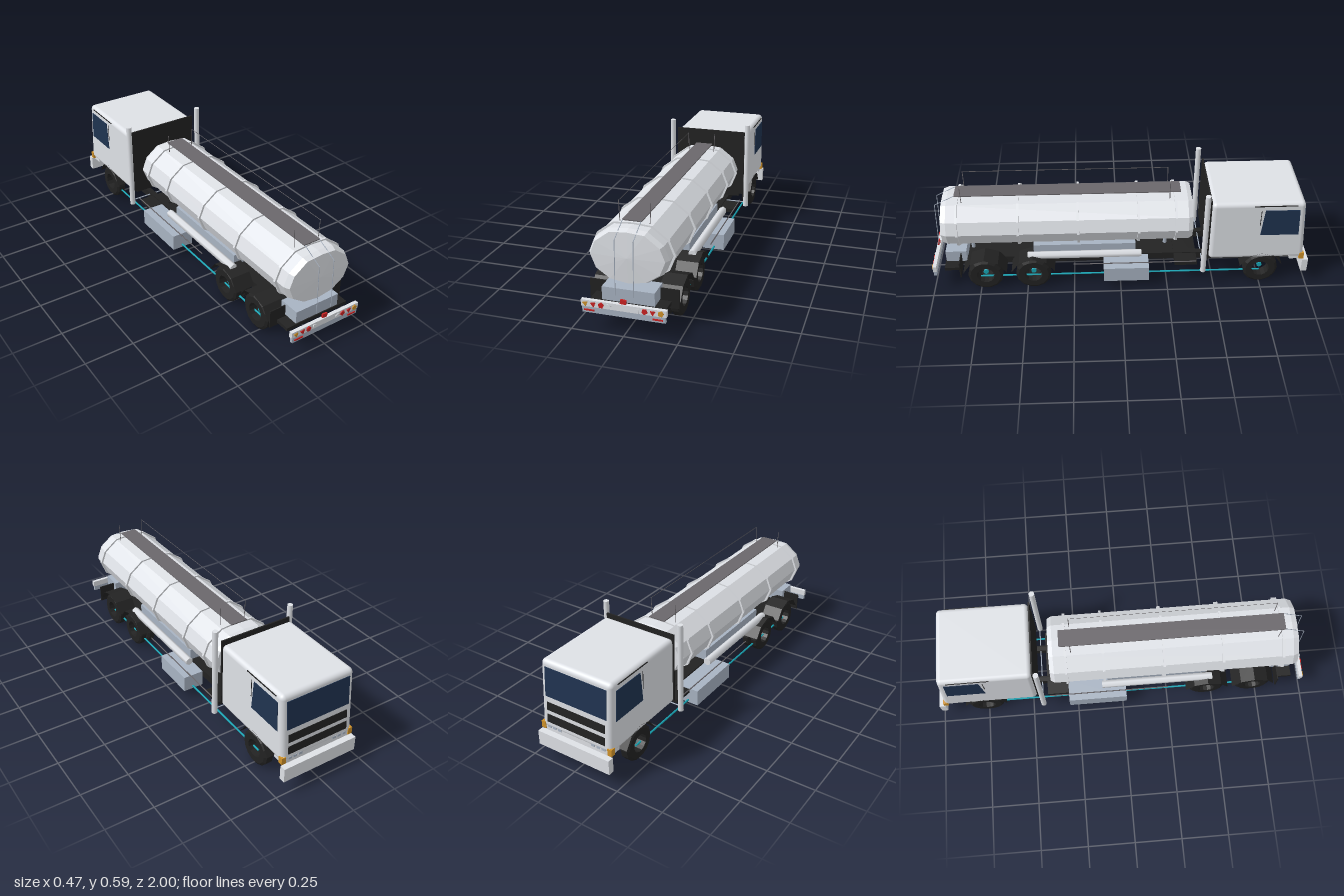
import * as THREE from 'three';
import { RoundedBoxGeometry } from 'three/addons/geometries/RoundedBoxGeometry.js';

const mat = (name, color, side = THREE.FrontSide) => {
  const m = new THREE.MeshStandardMaterial({ color, side });
  m.name = name;
  return m;
};

export function createModel() {
  const root = new THREE.Group();
  root.name = 'tankerTruck';
  const white = mat('white paint', 0xdee1e6);
  const steel = mat('blue grey steel', 0xa8b3c2);
  const black = mat('black', 0x222222, THREE.DoubleSide);
  const glass = mat('glass', 0x1f3350);
  const walk = mat('walkway grey', 0x6a676b);
  const red = mat('red lamp', 0xcc2222);
  const amber = mat('amber lamp', 0xd0922a);
  const teal = mat('teal line', 0x18a8b8);

  const add = (name, geo, m, x = 0, y = 0, z = 0) => {
    const o = new THREE.Mesh(geo, m);
    o.name = name;
    o.position.set(x, y, z);
    root.add(o);
    return o;
  };
  // box from its limits
  const box = (name, m, x0, x1, y0, y1, z0, z1) =>
    add(name, new THREE.BoxGeometry(x1 - x0, y1 - y0, z1 - z0), m, (x0 + x1) / 2, (y0 + y1) / 2, (z0 + z1) / 2);
  // thin round bar between two points
  const bar = (name, m, a, b, r, sides = 6) => {
    const p = new THREE.Vector3(...a), d = new THREE.Vector3(...b).sub(p);
    const o = add(name, new THREE.CylinderGeometry(r, r, d.length(), sides), m);
    o.position.copy(p).addScaledVector(d, 0.5);
    o.quaternion.setFromUnitVectors(new THREE.Vector3(0, 1, 0), d.normalize());
    return o;
  };

  // Tank cross-section, lofted along z with [z, scale] stations
  const half = [[0, 0.222], [0.09, 0.236], [0.16, 0.284], [0.188, 0.355], [0.162, 0.42], [0.087, 0.477], [0, 0.484]];
  const section = [...half, ...half.slice(1, -1).reverse().map(([x, y]) => [-x, y])];
  const loft = (stations) => {
    const pos = [], n = section.length, cy = 0.355;
    const pt = (i, [z, s]) => [section[i % n][0] * s, cy + (section[i % n][1] - cy) * s, z];
    for (let k = 0; k < stations.length - 1; k++)
      for (let i = 0; i < n; i++) {
        const a = pt(i, stations[k]), b = pt(i + 1, stations[k]);
        const c = pt(i + 1, stations[k + 1]), d = pt(i, stations[k + 1]);
        pos.push(...a, ...b, ...c, ...a, ...c, ...d);
      }
    const g = new THREE.BufferGeometry();
    g.setAttribute('position', new THREE.Float32BufferAttribute(pos, 3));
    g.computeVertexNormals();
    return g;
  };
  add('tank', loft([[-0.385, 0], [-0.378, 0.93], [-0.355, 1], [0.9, 1], [0.928, 0.93], [0.937, 0]]), white);
  for (const z of [-0.29, -0.095, 0.22, 0.53, 0.845])
    add('tankBand', loft([[z - 0.006, 0.9], [z - 0.006, 1.06], [z + 0.006, 1.06], [z + 0.006, 0.9]]), white);

  // Walkway, inward-facing rails, posts and ladder
  box('walkway', walk, -0.046, 0.046, 0.501, 0.506, -0.32, 0.86);
  for (const s of [-1, 1]) {
    add('handRail', new THREE.PlaneGeometry(1.08, 0.004).rotateY(-s * Math.PI / 2), walk, s * 0.075, 0.576, 0.28);
    for (const z of [-0.26, 0.82]) bar('railPost', walk, [s * 0.071, 0.48, z], [s * 0.075, 0.578, z], 0.002, 4);
    bar('ladderTop', steel, [s * 0.043, 0.504, 0.86], [s * 0.043, 0.45, 0.965], 0.002, 4);
    bar('ladderRail', steel, [s * 0.043, 0.45, 0.965], [s * 0.043, 0.19, 0.975], 0.002, 4);
  }

  // Chassis, tank supports and rear locker
  for (const s of [-1, 1]) box('chassisRail', black, s * 0.09 - 0.015, s * 0.09 + 0.015, 0.1, 0.14, -0.94, 0.89);
  box('deckPlate', black, -0.1, 0.1, 0.118, 0.13, -0.4, 0.87);
  box('frontDeck', black, -0.18, 0.18, 0.115, 0.135, -0.41, -0.29);
  box('rearDeck', black, -0.18, 0.18, 0.118, 0.135, 0.86, 0.935);
  box('saddle', steel, -0.143, 0.143, 0.185, 0.245, -0.08, 0.46);
  box('rearLocker', steel, -0.125, 0.125, 0.135, 0.2, 0.82, 0.93);
  for (const z of [0.8, -0.25]) bar('outletPipe', steel, [0, 0.13, z], [0, 0.24, z], 0.01, 8);
  for (const s of [-1, 1]) {
    add('hoseTube', new THREE.CylinderGeometry(0.021, 0.021, 0.6, 6).rotateX(Math.PI / 2), white, s * 0.167, 0.198, 0.19);
    bar('brakeLine', teal, [s * 0.172, 0.067, -0.75], [s * 0.172, 0.067, 0.75], 0.005);
    bar('airPipe', walk, [s * 0.195, 0.152, -0.4], [s * 0.195, 0.152, 0.25], 0.003);
    bar('lowerPipe', steel, [s * 0.06, 0.085, -0.3], [s * 0.06, 0.085, 0.5], 0.005);
    bar('exhaustStack', white, [s * 0.221, 0.107, -0.437], [s * 0.221, 0.596, -0.437], 0.0145, 12);
  }
  bar('stackBrace', steel, [-0.22, 0.13, -0.437], [0.22, 0.13, -0.437], 0.003);
  box('leftFuelBox', steel, 0.11, 0.224, 0.052, 0.138, -0.15, 0.09);
  box('rightFuelBox', steel, -0.228, -0.11, 0.052, 0.138, -0.295, 0.02);

  // Wheels: open rings
  const wheel = (x, z, w) => {
    const g = new THREE.LatheGeometry(
      [[0.047, -1], [0.08, -1], [0.093, -0.65], [0.093, 0.65], [0.08, 1], [0.047, 1], [0.047, -1]]
        .map(([r, t]) => new THREE.Vector2(r, t * w / 2)), 14).toNonIndexed().rotateZ(Math.PI / 2);
    g.computeVertexNormals();
    add('tyre', g, black, x, 0.094, z);
  };
  // Angular wheel arch strip
  const fender = (x0, x1, z, r) => {
    const pos = [], idx = [];
    for (let i = 0; i <= 4; i++) {
      const a = Math.PI * (0.08 + 0.21 * i);
      for (const x of [x0, x1]) pos.push(x, 0.094 + r * Math.sin(a), z + r * 1.08 * Math.cos(a));
      if (i < 4) idx.push(2 * i, 2 * i + 1, 2 * i + 3, 2 * i, 2 * i + 3, 2 * i + 2);
    }
    const g = new THREE.BufferGeometry();
    g.setAttribute('position', new THREE.Float32BufferAttribute(pos, 3));
    g.setIndex(idx);
    const flat = g.toNonIndexed();
    flat.computeVertexNormals();
    add('fender', flat, black);
  };
  const axle = (name, z, half) => {
    bar(name, steel, [-half, 0.094, z], [half, 0.094, z], 0.012, 8);
    for (const s of [-1, 1])
      add('axleHub', new THREE.CylinderGeometry(0.014, 0.014, 0.008, 8).rotateZ(Math.PI / 2), teal, s * half, 0.094, z);
  };
  for (const z of [0.465, 0.72]) {
    axle('rearAxle', z, 0.17);
    for (const s of [-1, 1]) {
      wheel(s * 0.124, z, 0.046);
      wheel(s * 0.179, z, 0.046);
      fender(s * 0.105, s * 0.214, z, 0.11);
    }
  }
  axle('frontAxle', -0.75, 0.165);
  for (const s of [-1, 1]) {
    wheel(s * 0.172, -0.75, 0.055);
    fender(s * 0.12, s * 0.206, -0.75, 0.108);
    box('mudFlap', black, s * 0.165 - 0.05, s * 0.165 + 0.05, 0.095, 0.19, 0.846, 0.851);
  }

  // Cab: rounded box with a raked front
  const slope = 0.08, frontZ = (y) => -0.972 + slope * (y - 0.165);
  const cabGeo = new RoundedBoxGeometry(0.41, 0.36, 0.5, 4, 0.024);
  cabGeo.translate(0, 0.35, -0.715);
  const p = cabGeo.attributes.position;
  for (let i = 0; i < p.count; i++) {
    const t = (-0.465 - p.getZ(i)) / 0.5;
    p.setZ(i, -0.465 + t * (frontZ(p.getY(i)) + 0.465));
  }
  add('cab', cabGeo, white);
  box('cabApron', white, -0.195, 0.195, 0.155, 0.2, -0.968, -0.9);
  box('cabBackPanel', black, -0.2, 0.2, 0.17, 0.545, -0.464, -0.456);
  box('cabFloor', black, -0.17, 0.17, 0.15, 0.172, -0.9, -0.47);

  // Plates on the raked cab front
  const frontPlate = (name, m, x0, x1, y0, y1, depth = 0.006) => {
    const y = (y0 + y1) / 2;
    const o = add(name, new THREE.BoxGeometry(x1 - x0, y1 - y0, depth), m, (x0 + x1) / 2, y, frontZ(y));
    o.rotation.x = Math.atan(slope);
  };
  frontPlate('windshield', glass, -0.178, 0.178, 0.345, 0.498);
  frontPlate('upperGrille', black, -0.17, 0.17, 0.272, 0.315);
  frontPlate('lowerGrille', black, -0.17, 0.17, 0.208, 0.25);
  for (const s of [-1, 1]) {
    for (const x of [0.1, 0.13, 0.16]) frontPlate('headlamp', steel, s * x - 0.01, s * x + 0.01, 0.178, 0.19, 0.003);
    box('indicator', amber, s * 0.196 - 0.012, s * 0.196 + 0.012, 0.163, 0.2, -0.973, -0.948);

    // Side window and door trim
    const shape = new THREE.Shape([[0.725, 0.33], [0.925, 0.33], [0.915, 0.487], [0.738, 0.487]]
      .map(([z, y]) => new THREE.Vector2(z, y)));
    const win = new THREE.ExtrudeGeometry(shape, { depth: 0.006, bevelEnabled: false });
    win.rotateY(Math.PI / 2);
    add('sideWindow', win, glass, s * 0.205 - 0.003, 0, 0);
    box('doorTopTrim', black, s * 0.204 - 0.003, s * 0.204 + 0.003, 0.511, 0.515, -0.9, -0.68);
    box('doorSeam', black, s * 0.204 - 0.003, s * 0.204 + 0.003, 0.39, 0.485, -0.72, -0.717);
  }
  box('frontBumper', white, -0.21, 0.21, 0.08, 0.157, -1, -0.968);

  // Rear bumper and lamps: [x, material, sides, roll]
  box('rearLampBar', white, -0.2, 0.2, 0.125, 0.157, 0.975, 0.994);
  box('rearBumper', steel, -0.195, 0.195, 0.096, 0.125, 0.977, 0.993);
  const lamps = [
    [-0.178, amber, 3, 0.15], [-0.14, red, 3, 0.1], [-0.103, red, 5, 0.5], [-0.068, white, 3, -0.5],
    [0.068, white, 3, 0.5], [0.1, red, 5, 0], [0.138, red, 3, 0], [0.175, amber, 5, 0.4],
  ];
  for (const [x, m, sides, roll] of lamps) {
    const g = new THREE.CylinderGeometry(0.014, 0.014, 0.006, sides).rotateX(Math.PI / 2);
    add('rearLamp', g, m, x, 0.141, 0.997).rotation.z = roll;
  }
  for (const s of [-1, 1])
    box('reflector', red, s * 0.16 - 0.024, s * 0.16 + 0.024, 0.106, 0.113, 0.993, 0.997);
  box('centreLamp', red, -0.016, 0.012, 0.157, 0.178, 0.98, 0.989).rotation.z = -0.1;
  return root;
}
